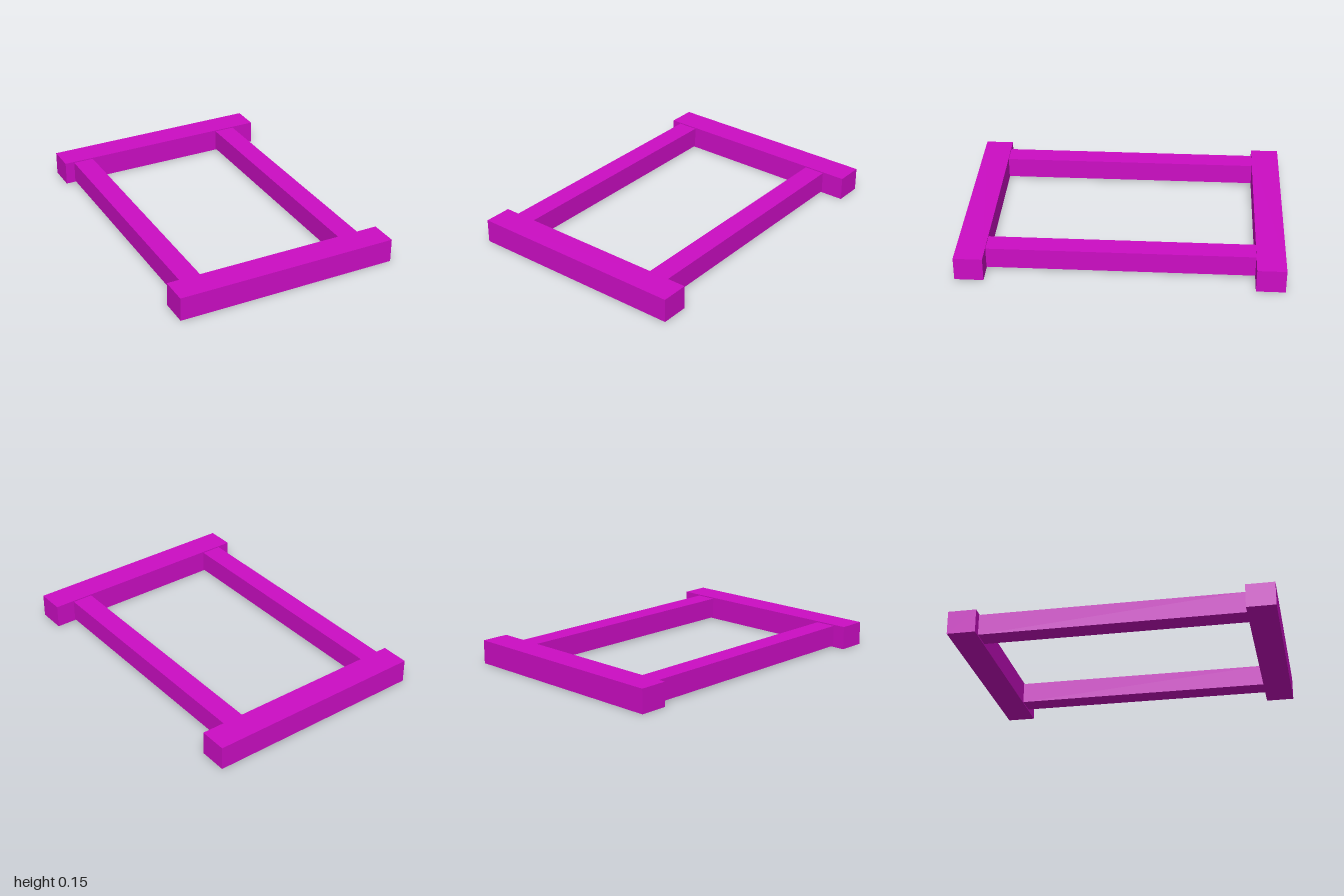
import * as THREE from 'three';

export function createModel() {
  const model = new THREE.Group();
  model.name = 'rectangularFrame';

  const magenta = new THREE.MeshStandardMaterial({ color: 0xcc0dc4 });
  magenta.name = 'magenta';

  // Square-edged beam given by its extents on each axis
  const addBeam = (name, [x0, x1], [y0, y1], [z0, z1]) => {
    const beam = new THREE.Mesh(new THREE.BoxGeometry(x1 - x0, y1 - y0, z1 - z0), magenta);
    beam.name = name;
    beam.position.set((x0 + x1) / 2, (y0 + y1) / 2, (z0 + z1) / 2);
    model.add(beam);
  };

  // End beams, slightly offset from each other sideways
  addBeam('frontBeam', [-0.718, 0.696], [0, 0.15], [0.822, 1]);
  addBeam('backBeam', [-0.698, 0.718], [0, 0.15], [-1, -0.822]);

  // Long side rails, a little thinner than the end beams
  addBeam('rightRail', [-0.636, -0.502], [0.008, 0.143], [-0.822, 0.822]);
  addBeam('leftRail', [0.433, 0.568], [0.008, 0.143], [-0.822, 0.822]);

  return model;
}
